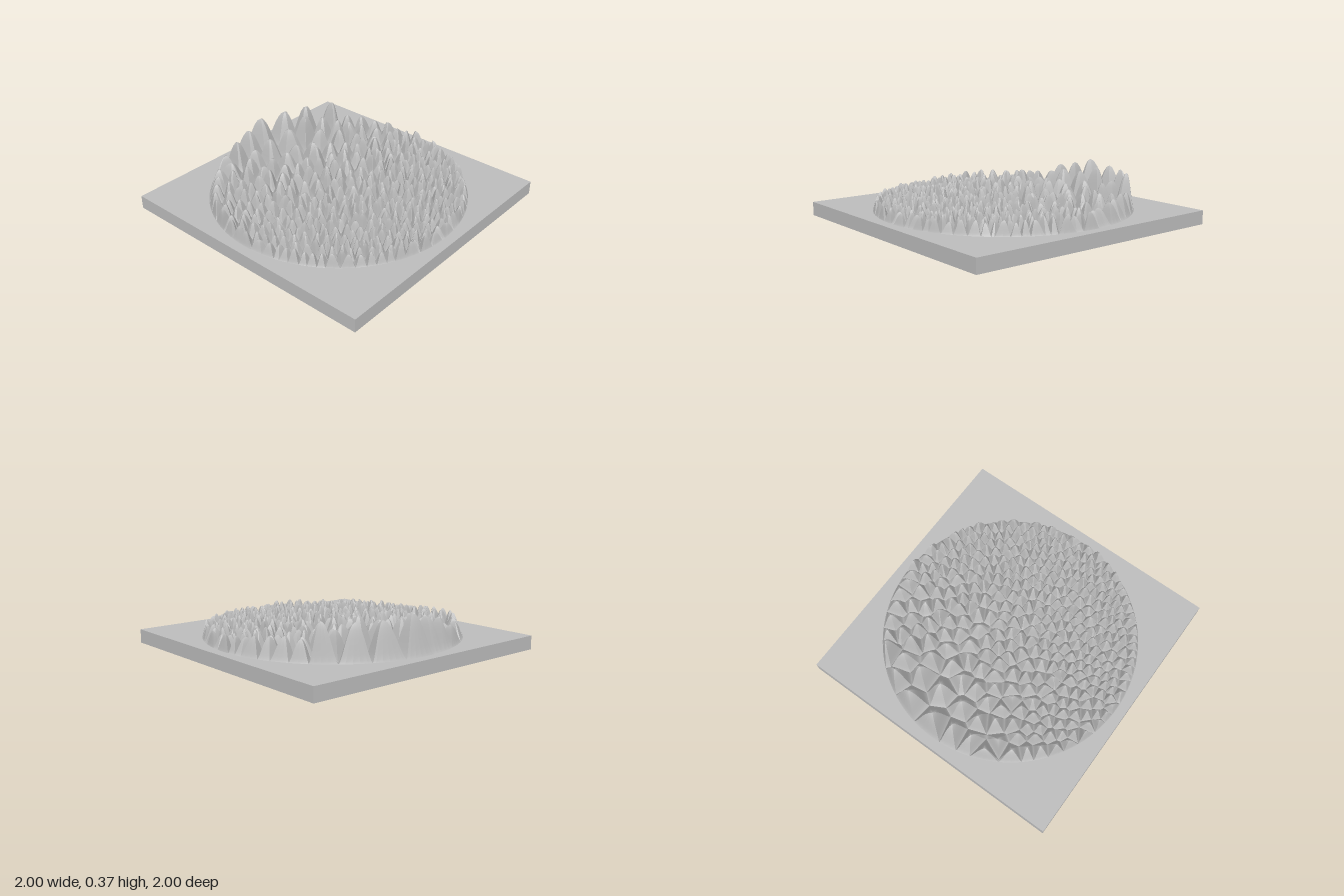
import * as THREE from 'three';

const SLAB = 0.1, RADIUS = 0.93;

// Small seeded random generator
function makeRandom(seed) {
  return () => {
    seed = (seed * 1664525 + 1013904223) >>> 0;
    return seed / 4294967296;
  };
}

// Cells are large by the left rim and shrink away from it
const cellSize = (x, z) => 0.043 + 0.177 * Math.exp(-1.4 * Math.hypot(x + 0.95, z + 0.2));

// Peak positions: the tallest by hand, the rest scattered with a varying minimum gap
function makePeaks(random) {
  const peaks = [
    [-0.61, -0.63, 0.26], [-0.74, -0.45, 0.25], [-0.8, -0.29, 0.25], [-0.62, -0.32, 0.26],
    [-0.83, -0.03, 0.27], [-0.62, -0.14, 0.21], [-0.8, 0.1, 0.23], [-0.64, 0.06, 0.2],
    [-0.78, 0.25, 0.2], [-0.46, -0.53, 0.19],
  ].map(([x, z, height]) => ({ x, z, height, size: cellSize(x, z) }));
  for (let i = 0; i < 30000; i++) {
    const r = Math.sqrt(random()) * RADIUS, a = random() * Math.PI * 2;
    const x = r * Math.cos(a), z = r * Math.sin(a), size = cellSize(x, z);
    if (r > RADIUS - size * 0.38) continue;
    if (peaks.some(p => Math.hypot(p.x - x, p.z - z) < 0.42 * (p.size + size))) continue;
    peaks.push({ x, z, size, height: (0.025 + 1.1 * size) * (0.8 + 0.35 * random()) });
  }
  return peaks;
}

// Keep the part of a convex polygon that is nearer to p than to q
function clip(polygon, p, q) {
  const nx = q.x - p.x, nz = q.z - p.z;
  const limit = (nx * (p.x + q.x) + nz * (p.z + q.z)) / 2;
  const side = v => v.x * nx + v.z * nz - limit;
  const out = [];
  polygon.forEach((a, i) => {
    const b = polygon[(i + 1) % polygon.length], da = side(a), db = side(b);
    if (da <= 0) out.push(a);
    if ((da < 0 && db > 0) || (da > 0 && db < 0)) {
      const t = da / (da - db);
      out.push({ x: a.x + (b.x - a.x) * t, z: a.z + (b.z - a.z) * t });
    }
  });
  return out;
}

function centroid(polygon) {
  let area = 0, x = 0, z = 0;
  polygon.forEach((a, i) => {
    const b = polygon[(i + 1) % polygon.length], c = a.x * b.z - b.x * a.z;
    area += c; x += (a.x + b.x) * c; z += (a.z + b.z) * c;
  });
  return { x: x / (3 * area), z: z / (3 * area) };
}

// Faceted mounds: each cell edge becomes a bell-curved facet rising to the peak
function makeMounds() {
  const peaks = makePeaks(makeRandom(7));
  const disc = Array.from({ length: 120 }, (_, i) => {
    const a = i / 120 * Math.PI * 2;
    return { x: RADIUS * Math.cos(a), z: RADIUS * Math.sin(a) };
  });
  const steps = [0, 0.1, 0.22, 0.35, 0.5, 0.65, 0.82, 1];
  const positions = [], indices = [];
  for (const peak of peaks) {
    let cell = disc;
    for (const other of peaks) {
      if (other !== peak && Math.hypot(other.x - peak.x, other.z - peak.z) < 0.7) cell = clip(cell, peak, other);
    }
    const mid = centroid(cell);
    const top = { x: (mid.x + peak.x) / 2, z: (mid.z + peak.z) / 2 };
    cell.forEach((a, i) => {
      const b = cell[(i + 1) % cell.length];
      if (Math.hypot(a.x - b.x, a.z - b.z) < 1e-5) return;
      const start = positions.length / 3;
      steps.forEach((u, row) => {
        const y = SLAB + peak.height * (0.5 - 0.5 * Math.cos(Math.PI * u ** 0.78));
        for (const v of [a, b]) positions.push(v.x + (top.x - v.x) * u, y, v.z + (top.z - v.z) * u);
        if (row === 0) return;
        const k = start + 2 * (row - 1);
        indices.push(k, k + 2, k + 1);
        if (row < steps.length - 1) indices.push(k + 1, k + 2, k + 3);
      });
    });
  }
  const geometry = new THREE.BufferGeometry();
  geometry.setAttribute('position', new THREE.Float32BufferAttribute(positions, 3));
  geometry.setIndex(indices);
  geometry.computeVertexNormals();
  return geometry;
}

export function createModel() {
  const group = new THREE.Group();
  group.name = 'texturedTile';
  const grey = new THREE.MeshStandardMaterial({ color: 0xbcbcbc });
  grey.name = 'light grey';

  // Square slab
  const slab = new THREE.Mesh(new THREE.BoxGeometry(2, SLAB, 2), grey);
  slab.name = 'baseSlab';
  slab.position.y = SLAB / 2;
  group.add(slab);

  // Round field of mounds
  const mounds = new THREE.Mesh(makeMounds(), grey);
  mounds.name = 'moundField';
  group.add(mounds);
  return group;
}
